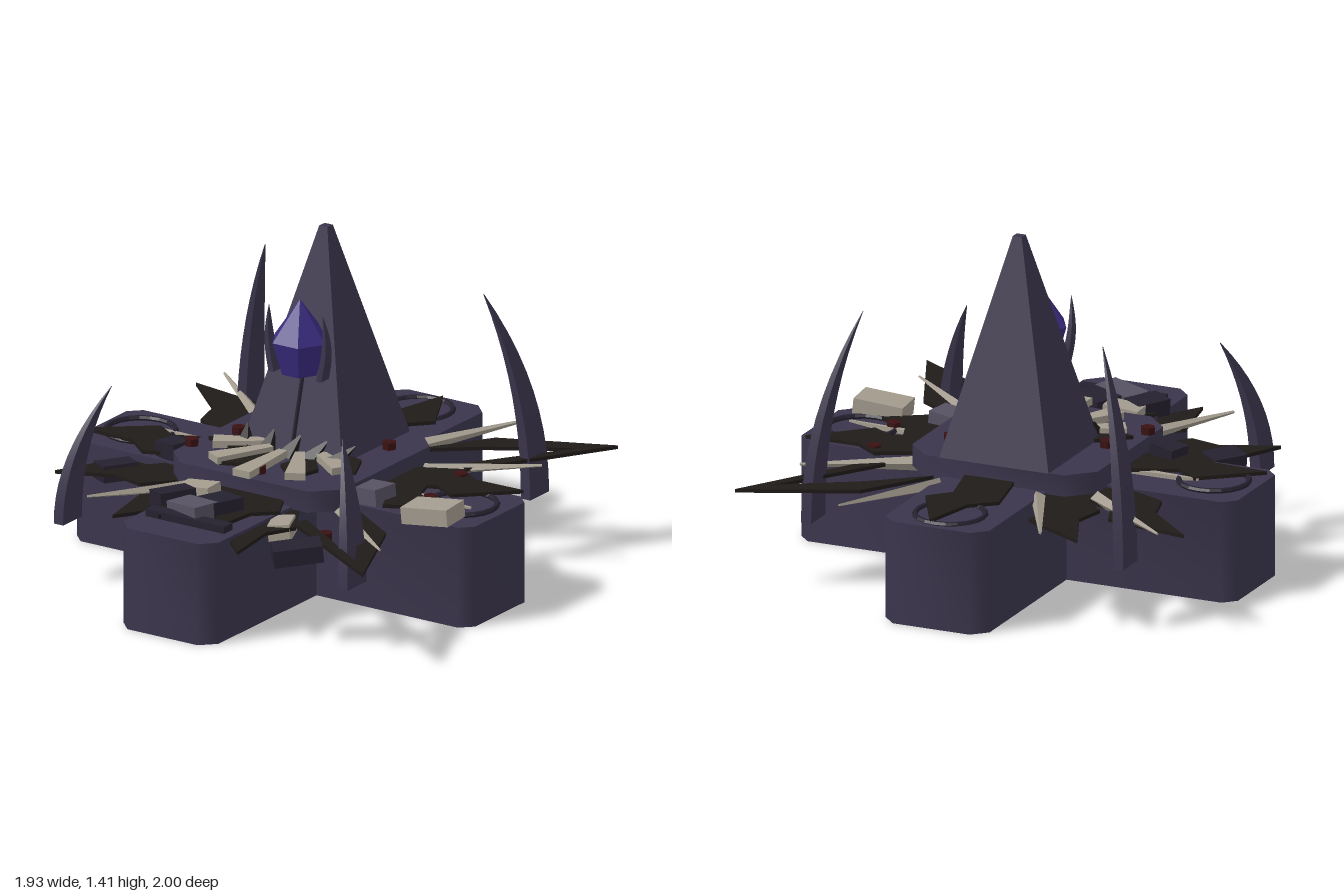
import * as THREE from 'three';
import { toCreasedNormals } from 'three/addons/utils/BufferGeometryUtils.js';

const mat = (color, flatShading = true) => new THREE.MeshStandardMaterial({ color, flatShading });
const stone = mat(0x3b354c), smoothStone = mat(0x3b354c, false), dark = mat(0x1f1b19), bone = mat(0xa39b8e);
const rock = mat(0x575263), slate = mat(0x25212f), bead = mat(0x3a1212), gem = mat(0x3b2c80);

// Height on which debris rests: platform, arm, or hanging in the corners
const restHeight = (x, z) => {
  const ax = Math.abs(x), az = Math.abs(z);
  if (Math.max(ax, az) < 0.4) return 0.51;
  return Math.min(ax, az) < 0.24 ? 0.43 : 0.36;
};

export function createModel() {
  const model = new THREE.Group();
  const add = (name, geometry, material, x = 0, y = 0, z = 0) => {
    const mesh = new THREE.Mesh(geometry, material);
    mesh.name = name;
    mesh.position.set(x, y, z);
    model.add(mesh);
    return mesh;
  };

  // Extrude a plan outline of (x, z) points upward
  const plan = (points, height) => {
    const shape = new THREE.Shape(points.map(([x, z]) => new THREE.Vector2(x, -z)));
    return new THREE.ExtrudeGeometry(shape, { depth: height, bevelEnabled: false }).rotateX(-Math.PI / 2);
  };
  // Block with softened upright corners
  const slab = (w, d, c, h) => {
    const a = w / 2, b = d / 2;
    return toCreasedNormals(plan([[a, b - c], [a, c - b], [a - c, -b], [c - a, -b],
      [-a, c - b], [-a, b - c], [c - a, b], [a - c, b]], h), 0.9);
  };

  // Cross-shaped base and central platform
  add('baseLongArm', slab(0.46, 2, 0.06, 0.43), smoothStone);
  add('baseCrossArm', slab(1.93, 0.45, 0.05, 0.425), smoothStone, 0, 0, 0.015);
  add('platform', slab(0.82, 0.82, 0.1, 0.09), smoothStone, 0, 0.42, 0.01);

  // Four-sided spire with a blunt tip and a rib on its front
  const spire = new THREE.CylinderGeometry(0.028, 0.342, 0.9, 4).rotateY(Math.PI / 4);
  add('spire', spire, stone, 0, 0.96, -0.165);
  add('spireRib', new THREE.TubeGeometry(new THREE.LineCurve3(
    new THREE.Vector3(0, 0.51, 0.08), new THREE.Vector3(0, 0.9, -0.02)), 1, 0.009, 5), slate);

  // Hexagonal crystal
  add('crystalTop', new THREE.CylinderGeometry(0, 0.122, 0.17, 6).rotateY(Math.PI / 6), gem, 0, 1.065, 0.02);
  add('crystalBottom', new THREE.CylinderGeometry(0.122, 0.08, 0.14, 6).rotateY(Math.PI / 6), gem, 0, 0.91, 0.02);

  // Curved horn: a box tapered and bent from its foot to its tip
  const horn = (foot, tip, wx, wz, bulge = 0) => {
    const g = new THREE.BoxGeometry(1, 1, 1, 1, 10, 1);
    const p = g.attributes.position;
    for (let i = 0; i < p.count; i++) {
      const t = p.getY(i) + 0.5, k = t ** 2.1, taper = 1 - t ** 2 * 0.97;
      p.setXYZ(i,
        foot[0] + (tip[0] - foot[0]) * k + bulge * Math.sin(Math.PI * t) + p.getX(i) * wx * taper,
        foot[1] + (tip[1] - foot[1]) * t,
        foot[2] + (tip[2] - foot[2]) * k + p.getZ(i) * wz * taper);
    }
    g.computeVertexNormals();
    return g;
  };
  for (const s of [1, -1]) {
    add('backHorn', horn([s * 0.69, 0.26, -0.64], [s * 0.53, 1.12, -0.51], 0.045, 0.135), smoothStone);
    add('frontHorn', horn([s * 0.69, 0.26, 0.66], [s * 0.56, 0.82, 0.54], 0.045, 0.135), smoothStone);
    add('crystalClaw', horn([s * 0.115, 0.83, 0.03], [s * 0.13, 1.11, 0.05], 0.025, 0.055, s * 0.02), smoothStone);
  }

  // Rings set into three arms
  for (const [x, z] of [[0, -0.82], [0.78, 0.01], [-0.78, 0.01]])
    add('armRing', new THREE.TorusGeometry(0.142, 0.012, 6, 20).rotateX(Math.PI / 2), slate, x, 0.433, z);

  // Jagged dark shards radiating from the platform, each given by its tip
  const shardTips = [[0.92, -0.22], [-0.94, -0.62], [-0.58, -0.86], [0.02, -0.97], [0.74, 0.12],
    [-0.82, 0.56], [-0.33, 0.87], [0.33, 0.95], [-0.95, 0.15], [-0.12, 0.85], [0.15, 0.8]];
  for (const [x, z] of shardTips) {
    const reach = Math.hypot(x, z) - 0.38;
    const blade = [[0, 0.13], [0.4, 0.07], [0.55, 0.15], [1, 0], [0.6, -0.05], [0.45, -0.15], [0, -0.09]]
      .map(([t, w]) => [0.38 + t * reach, w]);
    add('darkShard', plan(blade, 0.015), dark, 0, restHeight(x, z) * 0.5 + 0.221)
      .rotation.y = Math.atan2(-z, x);
  }
  // Two large open hooked shards in the left corners
  const hook = [[0.26, 0.42], [0.45, 0.71], [0.91, 0.91], [0.56, 0.34], [0.5, 0.36], [0.79, 0.79], [0.48, 0.6]];
  add('hookedShard', plan(hook.map(([x, z]) => [x, -z]), 0.015), dark, 0, 0.42);
  add('hookedShard', plan(hook.map(([x, z]) => [z, x]), 0.015), dark, 0, 0.41);
  // Flat shards lying on the platform
  for (const turn of [-2.8, -2, -1.1, -0.4])
    add('platformShard', plan([[0.1, -0.06], [0.28, -0.1], [0.39, 0], [0.24, 0.06]], 0.015), dark, 0, 0.51)
      .rotation.y = turn;

  // Tapered square spike laid between two points
  const spike = (name, a, b, r0, r1, material) => {
    const from = new THREE.Vector3(...a), to = new THREE.Vector3(...b);
    const dir = to.clone().sub(from);
    const g = new THREE.CylinderGeometry(r1, r0, dir.length(), 4).rotateY(Math.PI / 4);
    const mesh = add(name, g, material);
    mesh.position.copy(from.add(to).multiplyScalar(0.5));
    mesh.quaternion.setFromUnitVectors(new THREE.Vector3(0, 1, 0), dir.normalize());
  };
  for (const [x, z] of [[-0.44, -0.91], [-0.87, -0.72], [0.03, -0.87], [0.44, -0.93], [0.8, -0.53],
    [0.83, 0.67], [-0.5, 0.8], [0.85, 0.05], [-0.73, -0.03]])
    spike('boneSpike', [x * 0.5, 0.42, z * 0.5], [x, 0.44, z], 0.03, 0.006, bone);

  // Fan of flat blunt bones and upright splinters before the spire
  for (let i = -2; i <= 2; i++) {
    const length = 0.3 - Math.abs(i) * 0.04;
    const plank = plan([[0.14, -0.02], [0.14, 0.02], [0.14 + length, 0.042], [0.14 + length, -0.042]], 0.03);
    add('bluntBone', plank, bone, 0, 0.515, 0).rotation.y = i * 0.52 - Math.PI / 2;
    spike('darkSplinter', [i * 0.1, 0.5, 0.12], [i * 0.13 + 0.03, 0.59, 0.05], 0.045, 0.003, dark);
  }

  // Fallen blocks: material, place, width, depth and turn
  const blocks = [
    [bone, 0.78, 0.22, 0.21, 0.15, 0.1], [rock, 0.43, 0.17, 0.2, 0.12, -0.15],
    [slate, 0.49, 0.76, 0.2, 0.13, 0.7], [slate, -0.66, 0.36, 0.11, 0.15, -0.6],
    [slate, -0.5, 0.18, 0.12, 0.1, -0.3], [bone, -0.13, 0.55, 0.15, 0.1, 0.05],
    [rock, -0.03, 0.74, 0.18, 0.12, -0.3], [slate, 0.03, 0.64, 0.15, 0.14, -0.4],
    [slate, -0.18, 0.66, 0.1, 0.16, -0.5], [bone, 0.28, 0.56, 0.09, 0.13, 0.4],
  ];
  for (const [m, x, z, w, d, turn] of blocks)
    add('block', new THREE.BoxGeometry(w, 0.07, d), m, x, restHeight(x, z) + 0.03, z).rotation.set(0, turn, 0.1);
  add('frontBar', new THREE.BoxGeometry(0.38, 0.04, 0.06), slate, 0, 0.44, 0.81);

  // Small red hexagonal beads
  for (const [x, z] of [[-0.31, 0], [0.29, -0.19], [0.61, -0.23], [0.66, 0.06],
    [-0.39, 0.22], [-0.47, 0.34], [0.02, 0.34], [0.45, 0.5]])
    add('bead', new THREE.CylinderGeometry(0.03, 0.03, 0.03, 6).rotateY(Math.PI / 6), bead,
      x, restHeight(x, z) + 0.015, z);

  return model;
}
